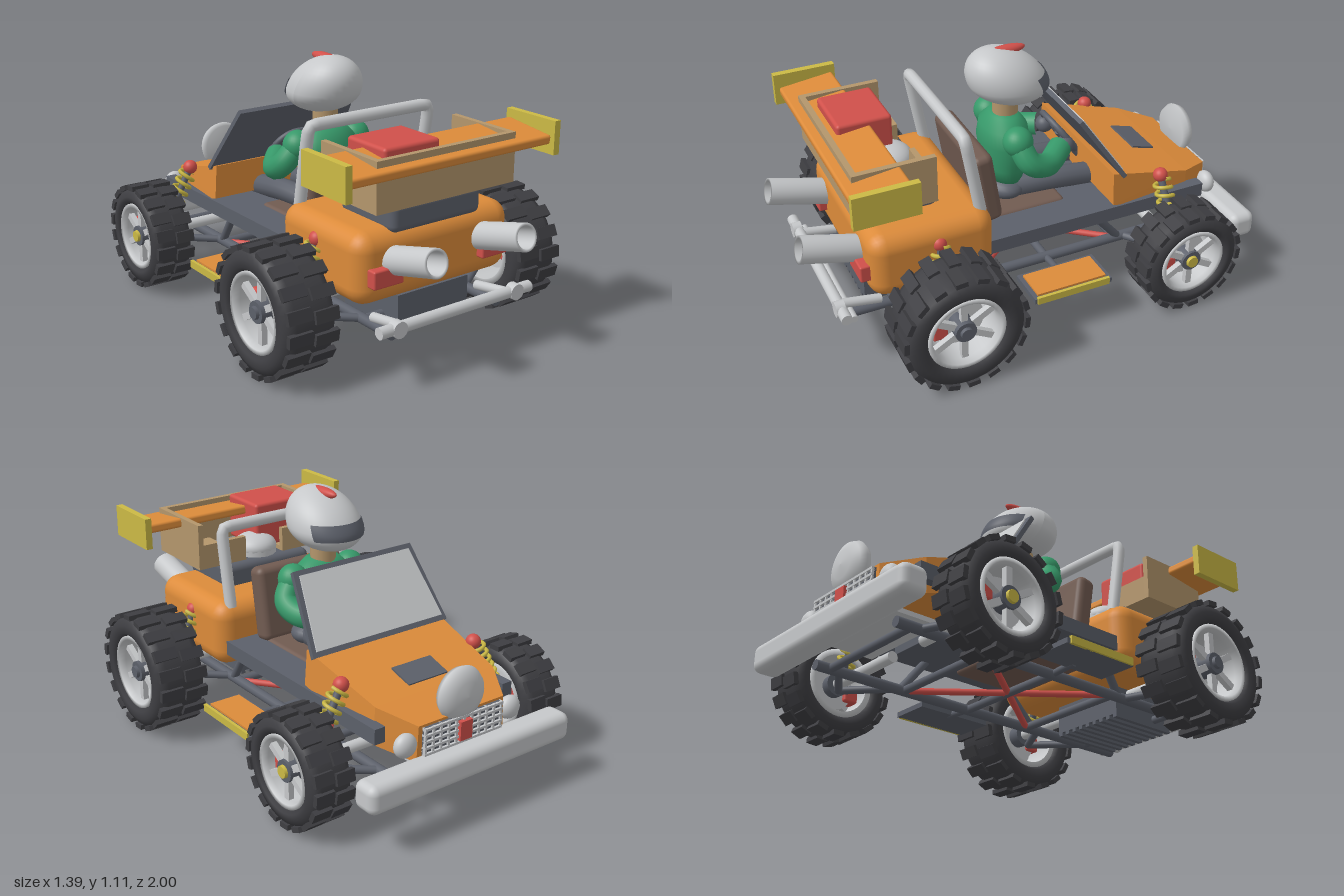
import * as THREE from 'three';
import { mergeGeometries } from 'three/addons/utils/BufferGeometryUtils.js';
import { RoundedBoxGeometry } from 'three/addons/geometries/RoundedBoxGeometry.js';
import { ConvexGeometry } from 'three/addons/geometries/ConvexGeometry.js';

const V = (x, y, z) => new THREE.Vector3(x, y, z);

export function createModel() {
  const model = new THREE.Group();
  model.name = 'buggy';
  const M = {};
  const colors = { orange: 0xdc8b3a, silver: 0xc6c8ca, darkGray: 0x5c606a, rubber: 0x3e3e42, yellow: 0xcbb945,
    red: 0xd0504a, green: 0x37996a, tan: 0xb4966c, brown: 0x715b51 };
  for (const [name, color] of Object.entries(colors)) {
    M[name] = new THREE.MeshStandardMaterial({ color });
    M[name].name = name;
  }

  const add = (name, geo, mat, parent = model) => {
    const mesh = new THREE.Mesh(geo, mat);
    mesh.name = name;
    parent.add(mesh);
    return mesh;
  };
  // box from its limits; a radius rounds the edges
  const box = (name, mat, x0, x1, y0, y1, z0, z1, r = 0, parent = model) => {
    const s = [x1 - x0, y1 - y0, z1 - z0];
    const m = add(name, r ? new RoundedBoxGeometry(...s, 3, r) : new THREE.BoxGeometry(...s), mat, parent);
    m.position.set((x0 + x1) / 2, (y0 + y1) / 2, (z0 + z1) / 2);
    return m;
  };
  const align = (obj, a, b) => {
    obj.position.copy(a).lerp(b, 0.5);
    obj.quaternion.setFromUnitVectors(V(0, 1, 0), b.clone().sub(a).normalize());
    return obj;
  };
  const rod = (name, mat, a, b, r, r2 = r) =>
    align(add(name, new THREE.CylinderGeometry(r2, r, a.distanceTo(b), 16), mat), a, b);
  const ball = (name, mat, p, rx, ry = rx, rz = rx) => {
    const m = add(name, new THREE.SphereGeometry(1, 28, 18), mat);
    m.position.copy(p);
    m.scale.set(rx, ry, rz);
    return m;
  };
  const lathe = pts => new THREE.LatheGeometry(pts.map(p => new THREE.Vector2(...p)), 40);
  const bent = (name, mat, pts, r, tension = 0.1) =>
    add(name, new THREE.TubeGeometry(new THREE.CatmullRomCurve3(pts, false, 'catmullrom', tension), 48, r, 12), mat);

  // wheels: built round local y, which points outward
  const wheel = (side, name, x, y, z, R, w, rim, hubMat) => {
    const g = new THREE.Group();
    g.name = name;
    const h = w / 2, t = R - 0.013;
    add('tyre', lathe([[rim, -h * 0.8], [rim + 0.015, -h * 0.97], [t - 0.04, -h * 0.97], [t - 0.012, -h * 0.86], [t, -h * 0.6],
      [t, h * 0.6], [t - 0.012, h * 0.86], [t - 0.04, h * 0.97], [rim + 0.015, h * 0.97], [rim, h * 0.8], [rim, -h * 0.8]]), M.rubber, g);
    const blocks = [], n = 18;
    for (let i = 0; i < n; i++) for (const s of [-1, 1]) {
      const b = new THREE.BoxGeometry(0.022, h * 0.88, 0.05);
      b.translate(R - 0.011, s * h * 0.5, 0);
      b.rotateY((i + (s > 0 ? 0.25 : 0)) / n * Math.PI * 2);
      blocks.push(b);
    }
    add('treadBlocks', mergeGeometries(blocks), M.rubber, g);
    add('rim', lathe([[rim - 0.025, -h * 0.8], [rim, -h * 0.8], [rim, h * 0.86], [rim - 0.018, h * 0.86], [rim - 0.025, h * 0.6],
      [rim - 0.025, -h * 0.8]]), M.silver, g);
    const spokes = [];
    for (let i = 0; i < 6; i++) {
      const b = new THREE.BoxGeometry(rim - 0.02, 0.025, 0.028);
      b.translate(rim / 2, h * 0.5, 0);
      b.rotateY(i * Math.PI / 3);
      spokes.push(b);
    }
    add('spokes', mergeGeometries(spokes), M.silver, g);
    add('brakeDisc', new THREE.CylinderGeometry(rim * 0.66, rim * 0.66, 0.02, 32), M.silver, g);
    const cal = box('brakeCaliper', M.red, -0.035, 0.035, -0.03, 0.035, 0.055, 0.12, 0.01, g);
    cal.position.applyAxisAngle(V(0, 1, 0), side > 0 ? 0.2 : Math.PI - 0.2);
    const hub = add('hub', new THREE.CylinderGeometry(0.045, 0.05, h * 1.3, 24), M.darkGray, g);
    hub.position.y = h * 0.1;
    add('hubCap', new THREE.CylinderGeometry(0.025, 0.028, 0.02, 16), hubMat, g).position.y = h * 0.78;
    g.rotation.z = -side * Math.PI / 2;
    g.position.set(side * x, y, z);
    model.add(g);
  };

  // coil spring with damper
  const shock = (top, bottom) => {
    const len = top.distanceTo(bottom), pts = [];
    for (let i = 0; i <= 72; i++) {
      const a = i / 72 * Math.PI * 12;
      pts.push(V(Math.cos(a) * 0.036, (i / 72 - 0.5) * len * 0.85, Math.sin(a) * 0.036));
    }
    align(add('coilSpring', new THREE.TubeGeometry(new THREE.CatmullRomCurve3(pts), 150, 0.009, 6), M.yellow), bottom, top);
    rod('damper', M.darkGray, bottom, top, 0.016);
    ball('shockCap', M.red, top, 0.032);
  };

  // rear body, floor and nose
  box('rearBody', M.orange, -0.39, 0.39, 0.29, 0.585, 0.205, 0.745, 0.075);
  box('floor', M.darkGray, -0.355, 0.355, 0.355, 0.42, -0.45, 0.23);
  const nose = [];
  for (const [x, y0, y1, z] of [[0.35, 0.43, 0.58, -0.36], [0.315, 0.32, 0.475, -0.75], [0.225, 0.28, 0.43, -0.9]])
    for (const s of [-1, 1]) nose.push(V(s * x, y0, z), V(s * x * 0.97, y1, z));
  add('nose', new ConvexGeometry(nose), M.orange);
  const hatch = box('hoodVent', M.darkGray, -0.1, 0.1, -0.004, 0.004, -0.056, 0.056);
  hatch.position.set(0, 0.506, -0.65);
  hatch.rotation.x = -0.29;
  box('noseUnderTray', M.silver, -0.22, 0.22, 0.26, 0.28, -0.87, -0.62);

  // windscreen
  const screen = (hw, top, inset) => {
    const s = new THREE.Shape();
    s.moveTo(-hw + inset, inset).lineTo(hw - inset, inset).lineTo(top - inset, 0.355 - inset).lineTo(-top + inset, 0.355 - inset);
    return s;
  };
  const windscreen = new THREE.Group();
  windscreen.name = 'windscreen';
  add('windscreenFrame', new THREE.ExtrudeGeometry(screen(0.35, 0.305, 0), { depth: 0.02, bevelEnabled: false }), M.darkGray, windscreen);
  const glass = add('windscreenGlass', new THREE.ExtrudeGeometry(screen(0.35, 0.305, 0.022), { depth: 0.006, bevelEnabled: false }), M.silver, windscreen);
  glass.position.z = -0.006;
  windscreen.position.set(0, 0.565, -0.42);
  windscreen.rotation.x = 0.6;
  model.add(windscreen);

  // front lamps, grille and bumper
  box('frontBumper', M.silver, -0.515, 0.515, 0.185, 0.305, -1, -0.88, 0.035);
  box('grillePanel', M.darkGray, -0.2, 0.2, 0.3, 0.42, -0.91, -0.88);
  for (let i = 0; i < 5; i++) box('grilleBar', M.silver, -0.2, 0.2, 0.305 + i * 0.026, 0.315 + i * 0.026, -0.92, -0.9);
  for (let i = 0; i < 11; i++) box('grilleSlat', M.silver, -0.2 + i * 0.039, -0.19 + i * 0.039, 0.3, 0.42, -0.918, -0.9);
  box('frontBadge', M.red, -0.03, 0.03, 0.32, 0.4, -0.93, -0.91);
  const lamp = add('mainLamp', lathe([[0, 0.04], [0.06, 0.034], [0.1, 0.016], [0.112, -0.01], [0.1, -0.035], [0, -0.04]].reverse()), M.silver);
  lamp.rotation.x = -Math.PI / 2;
  lamp.position.set(0, 0.5, -0.895);

  // rear wing, crate, engine and cargo
  const wing = box('rearWing', M.orange, -0.505, 0.505, -0.02, 0.02, -0.12, 0.12, 0.012);
  wing.position.set(0, 0.848, 0.705);
  wing.rotation.x = 0.12;
  box('crateBack', M.tan, -0.345, 0.345, 0.68, 0.885, 0.76, 0.785);
  for (const s of [-1, 1]) {
    const a = s * 0.345, b = s * 0.32;
    box('crateSide', M.tan, Math.min(a, b), Math.max(a, b), 0.68, 0.885, 0.44, 0.785);
    box('crateFront', M.tan, s > 0 ? 0.1 : -0.345, s > 0 ? 0.345 : -0.1, 0.68, 0.79, 0.44, 0.465);
    box('crateFloor', M.tan, s > 0 ? 0.1 : -0.345, s > 0 ? 0.345 : -0.1, 0.68, 0.7, 0.44, 0.785);
    box('wingEndPlate', M.yellow, s > 0 ? 0.5 : -0.53, s > 0 ? 0.53 : -0.5, 0.775, 0.915, 0.575, 0.845);
  }
  box('cargoBox', M.red, -0.265, 0.005, 0.7, 0.905, 0.495, 0.73, 0.015);
  box('engineBlock', M.darkGray, -0.225, 0.225, 0.56, 0.68, 0.4, 0.735, 0.03);
  rod('engineDrum', M.silver, V(0, 0.6, 0.52), V(0, 0.71, 0.52), 0.1);
  ball('engineDome', M.silver, V(0, 0.71, 0.52), 0.1, 0.06, 0.1);

  // roll bar
  bent('rollBar', M.silver, [V(-0.31, 0.56, 0.245), V(-0.308, 0.87, 0.3), V(-0.285, 0.905, 0.305),
    V(0.285, 0.905, 0.305), V(0.308, 0.87, 0.3), V(0.31, 0.56, 0.245)], 0.026);

  // rear bumper bars
  rod('rearBumper', M.silver, V(-0.385, 0.25, 0.86), V(0.385, 0.25, 0.86), 0.024);
  rod('rearBumperLower', M.silver, V(-0.35, 0.215, 0.82), V(0.35, 0.215, 0.82), 0.016);

  // lower frame with cross bracing
  for (const z of [-0.78, -0.42, -0.08, 0.26, 0.62])
    rod('frameCrossTube', M.darkGray, V(-0.27, 0.19, z), V(0.27, 0.19, z), 0.018);
  for (const s of [-1, 1]) rod('crossBrace', M.red, V(-0.27 * s, 0.19, -0.42), V(0.27 * s, 0.19, 0.26), 0.014);
  box('sump', M.darkGray, -0.18, 0.18, 0.165, 0.3, 0.38, 0.72);
  for (let i = 0; i < 9; i++) box('sumpRib', M.darkGray, -0.18 + i * 0.0425, -0.16 + i * 0.0425, 0.15, 0.17, 0.38, 0.72);

  for (const s of [-1, 1]) {
    wheel(s, 'rearWheel', 0.58, 0.267, 0.467, 0.267, 0.24, 0.165, M.darkGray);
    wheel(s, 'frontWheel', 0.55, 0.24, -0.6, 0.235, 0.19, 0.15, M.yellow);
    shock(V(s * 0.345, 0.52, -0.59), V(s * 0.465, 0.29, -0.6));
    shock(V(s * 0.375, 0.5, 0.455), V(s * 0.465, 0.29, 0.46));
    // suspension arms and axles
    for (const [z, y] of [[-0.6, 0.24], [0.467, 0.267]]) {
      rod('axle', M.silver, V(s * 0.1, y, z), V(s * 0.55, y, z), 0.024);
      for (const d of [-0.14, 0.14]) rod('suspensionArm', M.darkGray, V(s * 0.27, 0.19, z + d), V(s * 0.49, 0.21, z), 0.017);
    }
    rod('frameRail', M.darkGray, V(s * 0.27, 0.19, -0.85), V(s * 0.27, 0.19, 0.8), 0.022);
    rod('bumperStay', M.silver, V(s * 0.27, 0.22, 0.68), V(s * 0.27, 0.25, 0.86), 0.02);
    rod('bumperEnd', M.silver, V(s * 0.3, 0.25, 0.845), V(s * 0.3, 0.25, 0.885), 0.034);
    rod('frameStrut', M.darkGray, V(s * 0.3, 0.38, -0.28), V(s * 0.27, 0.19, -0.44), 0.018);
    rod('rearStrut', M.darkGray, V(s * 0.3, 0.38, 0.15), V(s * 0.27, 0.19, 0.3), 0.018);
    box('sideRail', M.darkGray, s * 0.33 - 0.025, s * 0.33 + 0.025, 0.355, 0.42, -0.81, -0.4);
    ball('smallLamp', M.silver, V(s * 0.27, 0.36, -0.885), 0.05, 0.05, 0.035);
    // side steps
    box('stepFrame', M.darkGray, s * 0.455 - 0.09, s * 0.455 + 0.09, 0.19, 0.212, -0.255, 0.105);
    box('stepPad', M.orange, s * 0.455 - 0.072, s * 0.455 + 0.072, 0.2, 0.221, -0.235, 0.085);
    box('stepEdge', M.yellow, s * 0.547 - 0.007, s * 0.547 + 0.007, 0.19, 0.222, -0.24, 0.095);
    rod('stepStay', M.darkGray, V(s * 0.25, 0.19, -0.08), V(s * 0.4, 0.2, -0.08), 0.015);
    // exhausts and tail lamps
    const pipe = add('exhaust', lathe([[0.045, -0.13], [0.057, -0.13], [0.057, 0.14], [0.045, 0.14], [0.045, -0.13]]), M.silver);
    align(pipe, V(s * 0.225, 0.46, 0.72), V(s * 0.225, 0.53, 0.98));
    rod('exhaustBore', M.rubber, V(s * 0.225, 0.46, 0.72), V(s * 0.225, 0.503, 0.88), 0.047);
    box('tailLamp', M.red, s * 0.273 - 0.072, s * 0.273 + 0.072, 0.38, 0.455, 0.72, 0.78, 0.008);
    // driver limbs
    bent('arm', M.green, [V(s * 0.15, 0.73, 0), V(s * 0.205, 0.65, -0.03), V(s * 0.19, 0.61, -0.12), V(s * 0.11, 0.625, -0.22)], 0.052, 0.5);
    ball('shoulder', M.green, V(s * 0.15, 0.73, 0), 0.065);
    ball('glove', M.darkGray, V(s * 0.1, 0.625, -0.25), 0.04);
    bent('leg', M.darkGray, [V(s * 0.07, 0.46, 0), V(s * 0.1, 0.47, -0.2), V(s * 0.1, 0.44, -0.42)], 0.05, 0.5);
  }

  // seat
  box('seatBase', M.brown, -0.21, 0.21, 0.3, 0.43, -0.2, 0.165, 0.02);
  const back = box('seatBack', M.brown, -0.225, 0.225, -0.165, 0.165, -0.045, 0.045, 0.03);
  back.position.set(0, 0.575, 0.165);
  back.rotation.x = 0.16;

  // driver
  ball('hips', M.darkGray, V(0, 0.46, 0.01), 0.14, 0.06, 0.1);
  const torso = add('torso', lathe([[0, 0.49], [0.11, 0.495], [0.125, 0.56], [0.15, 0.68], [0.135, 0.75], [0.08, 0.8], [0, 0.81]]), M.green);
  torso.scale.z = 0.72;
  rod('neck', M.tan, V(0, 0.78, -0.01), V(0, 0.87, -0.01), 0.055);
  const helmetShape = (geo, grow) => {
    const p = geo.attributes.position;
    for (let i = 0; i < p.count; i++) {
      const y = p.getY(i) * (p.getY(i) > 0 ? 0.155 : 0.1);
      p.setXYZ(i, p.getX(i) * 0.155 * grow, 0.95 + y, p.getZ(i) * 0.172 * grow + 0.4 * y - 0.02);
    }
    geo.computeVertexNormals();
    return geo;
  };
  add('helmet', helmetShape(new THREE.SphereGeometry(1, 36, 24), 1), M.silver);
  add('visor', helmetShape(new THREE.SphereGeometry(1, 24, 6, Math.PI * 1.5 - 1, 2, 1.33, 0.55), 1.03), M.darkGray).material.side = THREE.DoubleSide;
  ball('helmetStripe', M.red, V(0, 1.085, 0.0), 0.026, 0.023, 0.1).rotation.x = 0.05;

  // steering
  const steer = add('steeringWheel', new THREE.TorusGeometry(0.105, 0.014, 10, 32), M.darkGray);
  steer.position.set(0, 0.635, -0.27);
  steer.rotation.x = 0.6;
  rod('steeringSpoke', M.darkGray, V(-0.1, 0.635, -0.27), V(0.1, 0.635, -0.27), 0.011);
  rod('steeringColumn', M.darkGray, V(0, 0.635, -0.27), V(0, 0.46, -0.4), 0.02);

  return model;
}
